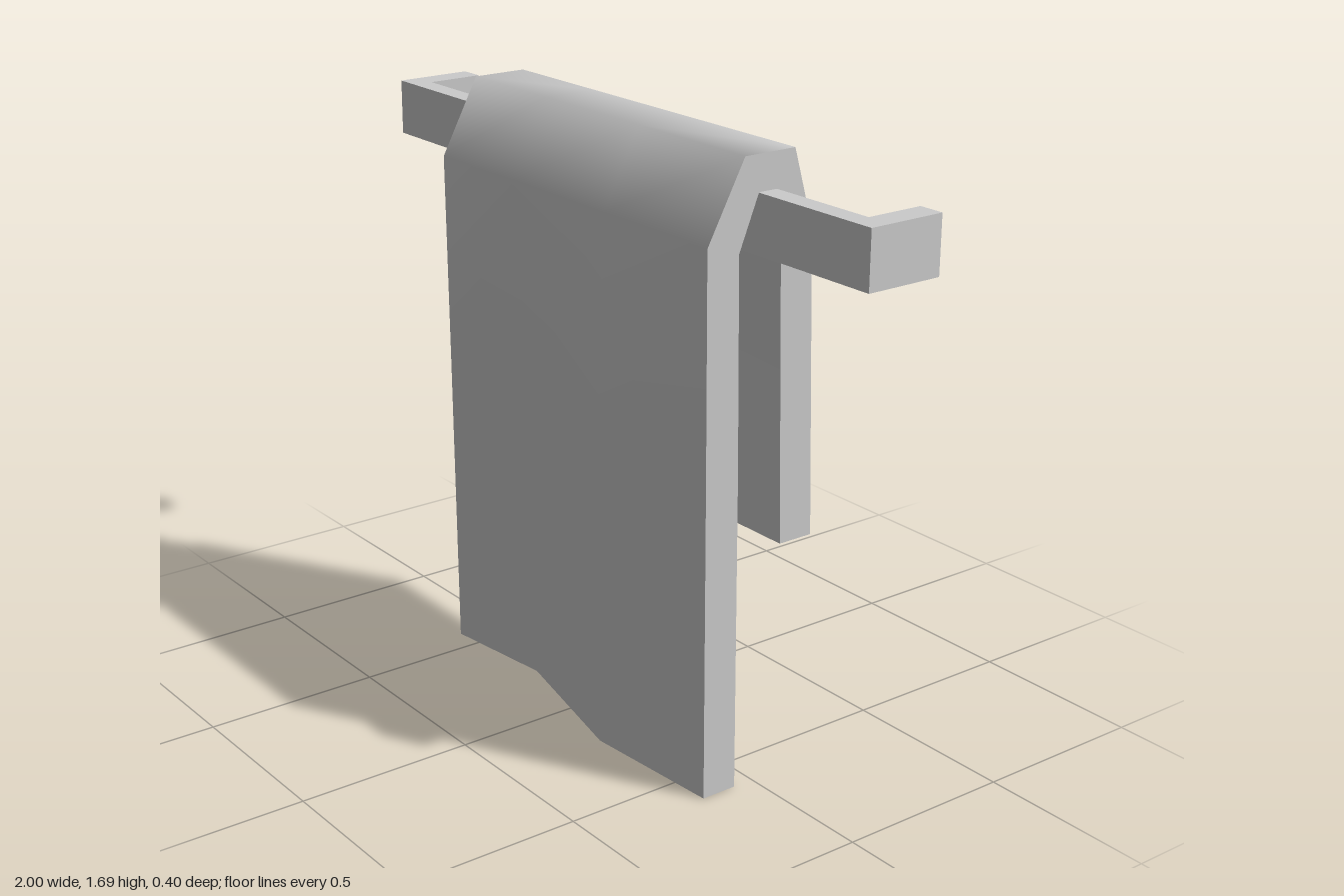
import * as THREE from 'three';

const material = new THREE.MeshStandardMaterial({ color: 0xcccccc, side: THREE.DoubleSide });

// Surface through rows of [x, y, z] points
function sheet(rows, flat = false) {
  const n = rows[0].length;
  const index = [];
  for (let i = 0; i < rows.length - 1; i++) {
    for (let j = 0; j < n - 1; j++) {
      const a = i * n + j, b = a + 1, c = a + n, d = c + 1;
      index.push(a, b, d, a, d, c);
    }
  }
  let geometry = new THREE.BufferGeometry();
  geometry.setAttribute('position', new THREE.Float32BufferAttribute(rows.flat(2), 3));
  geometry.setIndex(index);
  if (flat) geometry = geometry.toNonIndexed();
  geometry.computeVertexNormals();
  return geometry;
}

function addMesh(parent, name, geometry) {
  const mesh = new THREE.Mesh(geometry, material);
  mesh.name = name;
  parent.add(mesh);
}

// Columns across the cloth: x, fold depth, lift of the lower hem
const columns = [
  [-0.535, 0, 0.027],
  [-0.2, -0.041, 0.027],
  [0.2, 0.03, 0],
  [0.61, 0, 0],
];

// Profile over the rail, front hem to back hem: z, y, fold weight, lift weight
const outerProfile = [
  [0.163, 0, 1, 1],
  [0.171, 0.87, 1, 0],
  [0.178, 1.48, 0, 0],
  [0.067, 1.687, 0, 0],
  [-0.089, 1.687, 0, 0],
  [-0.15, 1.48, 0, 0],
  [-0.178, 0.657, 0, 0],
];
const innerProfile = [
  [0.06, 0, 1, 1],
  [0.069, 0.87, 1, 0],
  [0.08, 1.45, 0, 0],
  [0.022, 1.593, 0, 0],
  [-0.034, 1.593, 0, 0],
  [-0.051, 1.46, 0, 0],
  [-0.075, 0.657, 0, 0],
];

const clothRows = (profile) => profile.map(([z, y, fold, lift]) =>
  columns.map(([x, depth, rise]) => [x, y + rise * lift, z + depth * fold]));

function createTowel() {
  const towel = new THREE.Group();
  towel.name = 'towel';
  const outer = clothRows(outerProfile);
  const inner = clothRows(innerProfile);
  const last = outer.length - 1;
  const right = columns.length - 1;

  addMesh(towel, 'towelOuterFace', sheet(outer));
  addMesh(towel, 'towelInnerFace', sheet(inner.map((row) => [...row].reverse())));
  // Thickness along the sides and the two hems
  addMesh(towel, 'towelLeftEdge', sheet(outer.map((row, i) => [row[right], inner[i][right]])));
  addMesh(towel, 'towelRightEdge', sheet(outer.map((row, i) => [inner[i][0], row[0]])));
  addMesh(towel, 'towelFrontHem', sheet([inner[0], outer[0]], true));
  addMesh(towel, 'towelBackHem', sheet([outer[last], inner[last]], true));
  return towel;
}

// Rectangular tube with mitred corners, open where it meets the wall
function createRail() {
  const bottom = 1.437, top = 1.592;
  const stations = [
    [-1, -0.2, -0.928, -0.2],
    [-1, 0.022, -0.928, -0.036],
    [1, 0.022, 0.928, -0.036],
    [1, -0.2, 0.928, -0.2],
  ];
  return sheet(stations.map(([ox, oz, ix, iz]) => [
    [ox, top, oz], [ox, bottom, oz], [ix, bottom, iz], [ix, top, iz], [ox, top, oz],
  ]), true);
}

export function createModel() {
  const model = new THREE.Group();
  model.name = 'towelRail';
  addMesh(model, 'rail', createRail());
  model.add(createTowel());
  return model;
}
